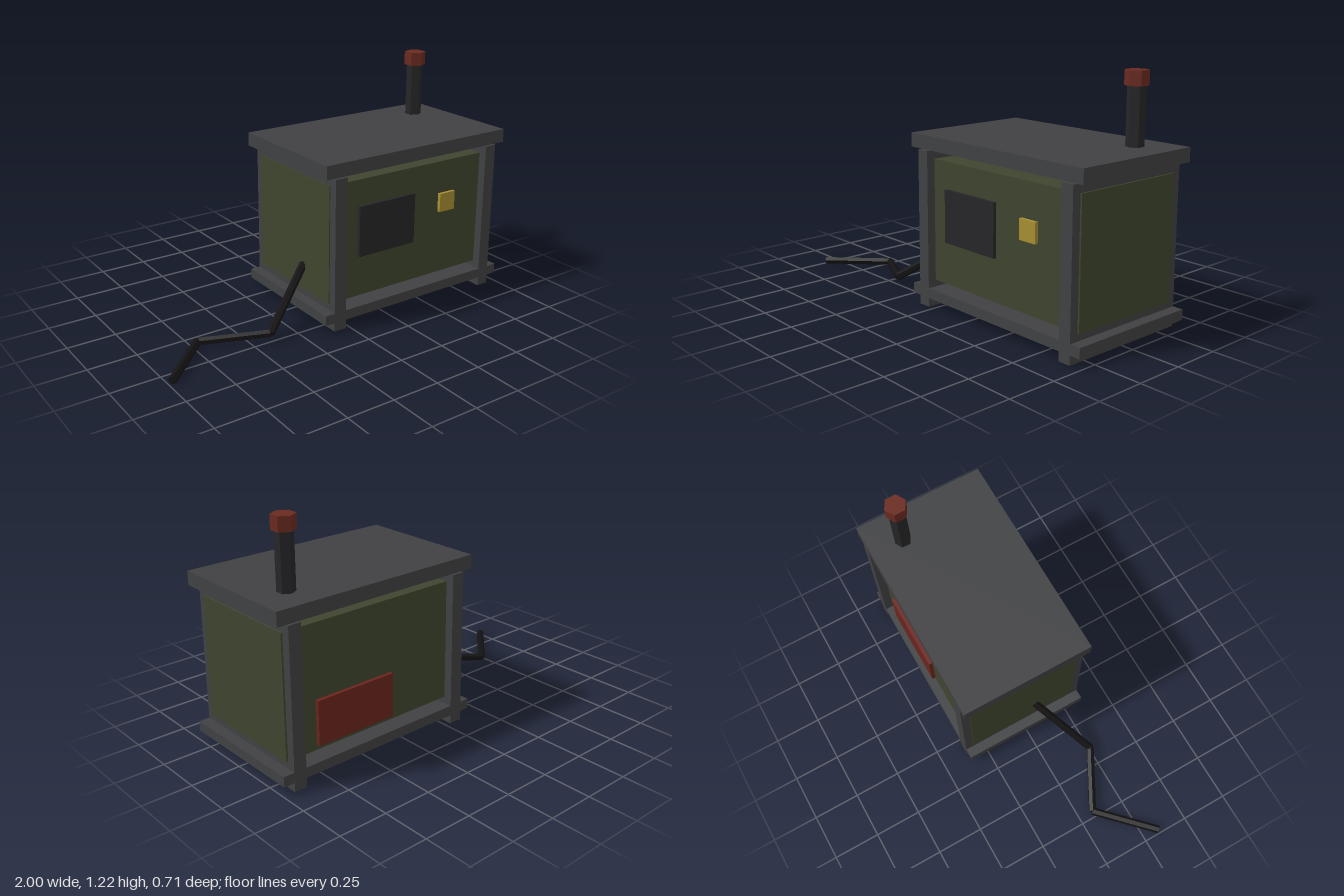
import * as THREE from 'three';

const mat = (color) => new THREE.MeshStandardMaterial({ color, flatShading: true });

export function createModel() {
  const model = new THREE.Group();
  const frame = mat(0x404143), olive = mat(0x3e452e), dark = mat(0x262628);
  const rust = mat(0x6a2a20), red = mat(0x6a241c), yellow = mat(0xa88e32), black = mat(0x141212);

  const add = (name, geometry, material) => {
    const mesh = new THREE.Mesh(geometry, material);
    mesh.name = name;
    model.add(mesh);
    return mesh;
  };
  // Box given by its extents on each axis
  const box = (name, material, [x0, x1], [y0, y1], [z0, z1]) =>
    add(name, new THREE.BoxGeometry(x1 - x0, y1 - y0, z1 - z0), material)
      .position.set((x0 + x1) / 2, (y0 + y1) / 2, (z0 + z1) / 2);

  // Housing
  box('body', olive, [-0.1, 0.95], [0.14, 0.757], [-0.315, 0.3]);
  box('roof', frame, [-0.148, 0.997], [0.807, 0.877], [-0.36, 0.345]);
  box('baseTray', frame, [-0.148, 0.997], [0.052, 0.104], [-0.359, 0.344]);

  // End frames, also serving as feet
  box('rightEndFrame', frame, [-0.095, -0.026], [0.006, 0.8], [-0.36, 0.345]);
  box('leftEndFrame', frame, [0.875, 0.941], [0.006, 0.8], [-0.36, 0.345]);

  // Panels on the front and back faces
  box('frontGrille', dark, [0.073, 0.423], [0.357, 0.622], [0.29, 0.318]);
  box('controlPlate', yellow, [0.594, 0.694], [0.485, 0.585], [0.29, 0.318]);
  box('rearHatch', red, [0.34, 0.78], [0.165, 0.39], [-0.335, -0.305]);

  // Hexagonal exhaust stack and cap
  add('exhaustPipe', new THREE.CylinderGeometry(0.0435, 0.0435, 0.32, 6), dark)
    .position.set(0.82, 1.0, -0.184);
  add('exhaustCap', new THREE.CylinderGeometry(0.057, 0.057, 0.07, 6), rust)
    .position.set(0.82, 1.19, -0.184);

  // Power cable made of straight segments
  const path = [[-0.095, 0.275, 0.07], [-0.41, 0.05, 0.25], [-0.72, 0.024, 0.08], [-0.984, 0.024, 0.34]]
    .map((p) => new THREE.Vector3(...p));
  const up = new THREE.Vector3(0, 1, 0);
  for (let i = 0; i < path.length - 1; i++) {
    const dir = path[i + 1].clone().sub(path[i]);
    const segment = add('cableSegment', new THREE.CylinderGeometry(0.021, 0.021, dir.length(), 6), black);
    segment.position.copy(path[i]).addScaledVector(dir, 0.5);
    segment.quaternion.setFromUnitVectors(up, dir.normalize());
  }
  return model;
}
